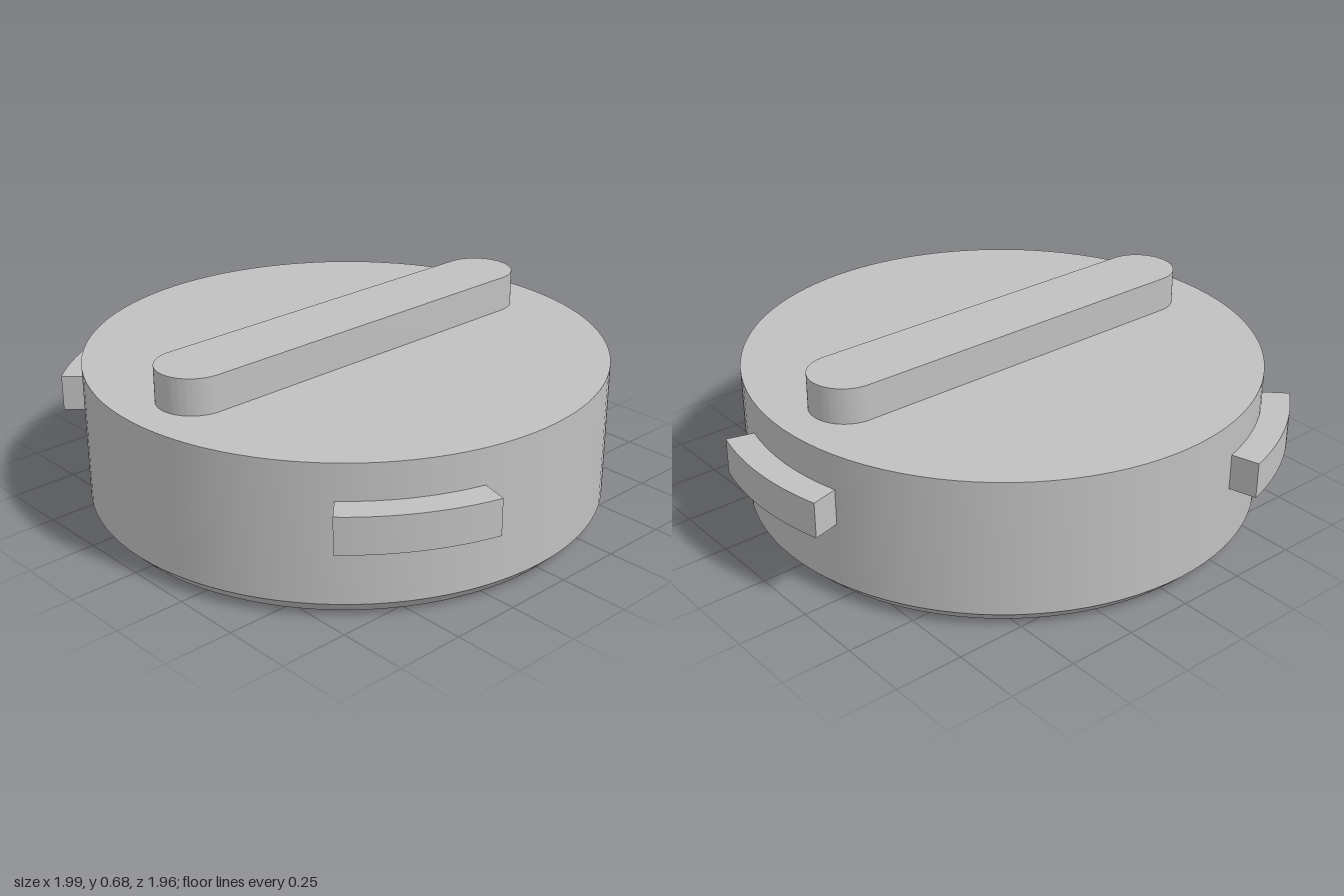
import * as THREE from 'three';
import { toCreasedNormals } from 'three/addons/utils/BufferGeometryUtils.js';

const RADIUS = 0.932, HEIGHT = 0.545, CENTRE_Z = 0.047;

export function createModel() {
  const model = new THREE.Group();
  model.name = 'bayonetCap';
  const grey = new THREE.MeshStandardMaterial({ color: 0xc0c0c0 });
  grey.name = 'grey';

  function add(name, geometry) {
    const mesh = new THREE.Mesh(toCreasedNormals(geometry, 0.5), grey);
    mesh.name = name;
    mesh.position.z = CENTRE_Z;
    model.add(mesh);
  }

  // Extrudes a plan outline (y pointing to the back) upwards from y0 to y1
  function extrudeUp(shape, y0, y1) {
    return new THREE.ExtrudeGeometry(shape, { depth: y1 - y0, bevelEnabled: false, curveSegments: 24 })
      .rotateX(-Math.PI / 2)
      .translate(0, y0, 0);
  }

  // Disc with a chamfered lower rim and a blind hole underneath
  const profile = [
    [0, 0.36], [0.35, 0.36], [0.35, 0], [0.884, 0],
    [RADIUS, 0.05], [RADIUS, HEIGHT], [0, HEIGHT],
  ].map(([r, y]) => new THREE.Vector2(r, y));
  add('body', new THREE.LatheGeometry(profile, 96));

  // Round-ended grip bar across the top
  const half = 0.131, reach = 0.808 - half;
  const bar = new THREE.Shape();
  bar.absarc(0, reach, half, 0, Math.PI);
  bar.absarc(0, -reach, half, Math.PI, 2 * Math.PI);
  bar.closePath();
  add('gripBar', extrudeUp(bar, HEIGHT - 0.01, 0.675));

  // Three curved locking lugs, evenly spaced, each spanning 30 degrees
  const spread = Math.PI / 12;
  for (let i = 0; i < 3; i++) {
    const mid = Math.PI / 2 + i * 2 * Math.PI / 3;
    const lug = new THREE.Shape();
    lug.absarc(0, 0, 1.032, mid - spread, mid + spread, false);
    lug.absarc(0, 0, 0.9, mid + spread, mid - spread, true);
    lug.closePath();
    add('lockingLug' + (i + 1), extrudeUp(lug, 0.284, 0.415));
  }

  return model;
}
